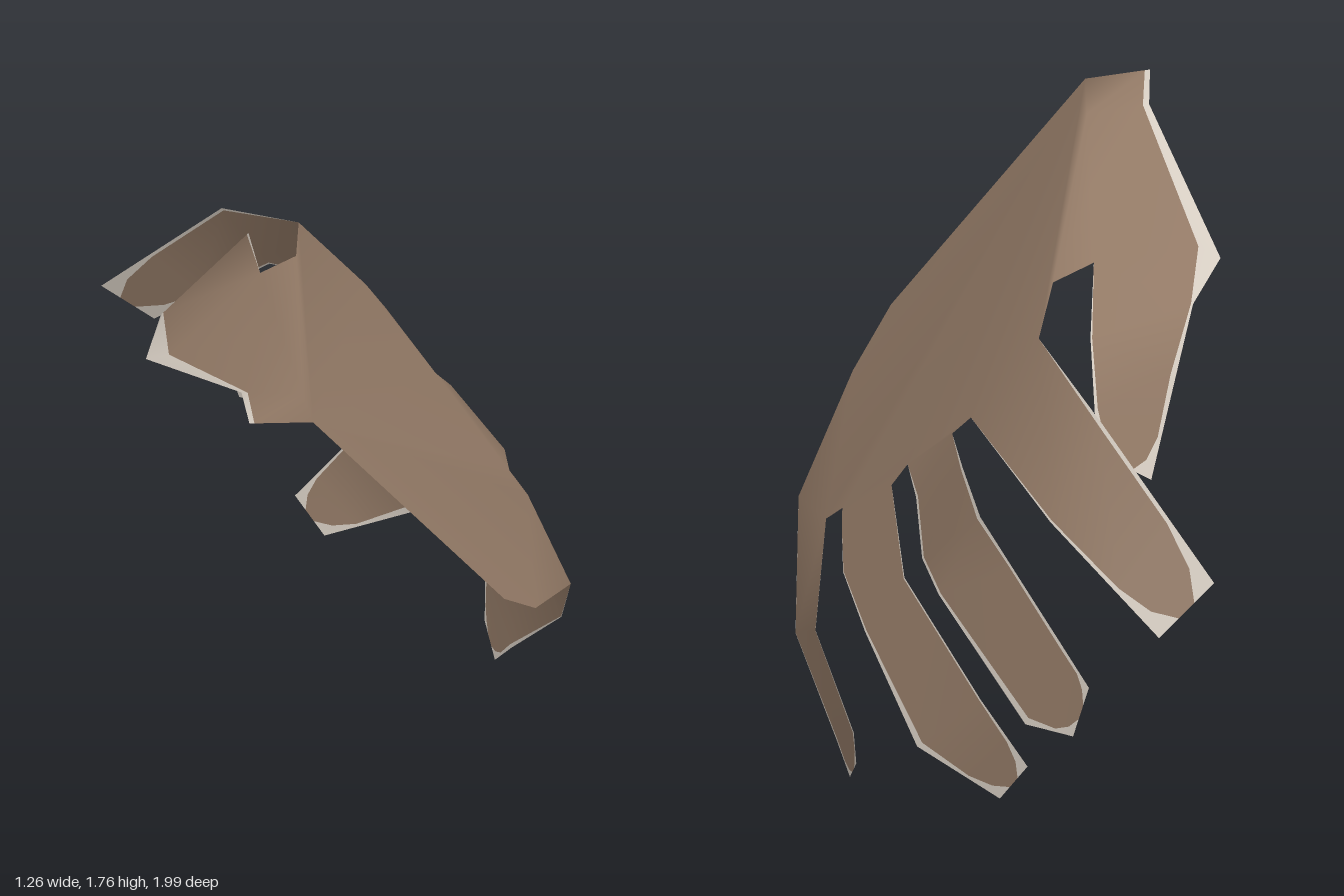
import * as THREE from 'three';

export function createModel() {
  const group = new THREE.Group();
  group.name = 'hand';

  const skin = new THREE.MeshStandardMaterial({ color: 0x937a66, side: THREE.DoubleSide });
  skin.name = 'brown skin';
  const rim = new THREE.MeshStandardMaterial({ color: 0xd6cdc2, side: THREE.DoubleSide });
  rim.name = 'pale rim';

  // Shared vertices, so the shading stays smooth across the knuckles
  const positions = [], lookup = new Map(), parts = [];
  const vertex = (p) => {
    const key = p.map((c) => c.toFixed(4)).join();
    if (!lookup.has(key)) {
      lookup.set(key, positions.length / 3);
      positions.push(...p);
    }
    return lookup.get(key);
  };
  const lerp = (p, q, t) => p.map((c, i) => c + (q[i] - c) * t);
  const newPart = (name) => {
    const part = { name, skin: [], rim: [] };
    parts.push(part);
    return part;
  };
  const triangle = (list, p, q, r) => {
    const [a, b, c] = [p, q, r].map(vertex);
    if (a !== b && b !== c && a !== c) list.push(a, b, c);
  };

  // Rows run from knuckle to tip: [upper edge, lower edge, upper rim, lower rim].
  // Rims are fractions of the width; the last section is rounded off by widening them.
  function finger(name, rows) {
    const part = newPart(name);
    const tip = rows[rows.length - 1], before = rows[rows.length - 2];
    const end = [[0.6, 0.05], [0.85, 0.15], [1, 0.36]].map(([t, w]) =>
      [lerp(before[0], tip[0], t), lerp(before[1], tip[1], t), w, w]);
    const grid = [...rows.slice(0, -1), ...end].map(([l, r, a = 0, b = 0]) =>
      [l, lerp(l, r, a), lerp(l, r, 1 - b), r]);
    for (let i = 0; i < grid.length - 1; i++) {
      for (let j = 0; j < 3; j++) {
        const list = j === 1 ? part.skin : part.rim;
        const [p, q] = [grid[i], grid[i + 1]];
        triangle(list, p[j], p[j + 1], q[j + 1]);
        triangle(list, p[j], q[j + 1], q[j]);
      }
    }
    return part;
  }

  // Palm: a flat sheet parallel to z, so height follows from x
  const onPalm = (x, z) => [x, 1.735 - 1.233 * (x + 0.272), z];
  const wrist = onPalm(-0.272, 0.985), thumbWeb = onPalm(-0.119, -0.13);
  const indexA = onPalm(-0.063, -0.395), indexB = onPalm(0.137, -0.395);
  const middleA = onPalm(0.19, -0.357), middleB = onPalm(0.314, -0.215);
  const ringA = onPalm(0.362, -0.23), ringB = onPalm(0.503, -0.123);
  const littleA = onPalm(0.54, 0.055), littleB = onPalm(0.602, 0.42);
  const outline = [
    wrist, onPalm(0.3, 0.985), onPalm(0.42, 0.84), littleB, littleA, onPalm(0.495, 0),
    ringB, ringA, middleB, middleA, indexB, indexA, thumbWeb,
  ];
  const palm = newPart('palm');
  const flat = outline.map((p) => new THREE.Vector2(p[0], -p[2]));
  for (const [a, b, c] of THREE.ShapeUtils.triangulateShape(flat, [])) {
    const up = flat[b].clone().sub(flat[a]).cross(flat[c].clone().sub(flat[a])) > 0;
    triangle(palm.skin, outline[a], outline[up ? b : c], outline[up ? c : b]);
  }

  // Thumb, with the fold that joins it to the palm
  const crook = [-0.244, 1.567, -0.034];
  const fold = [0, 0.19, 0.6, 1].map((t) => lerp(wrist, crook, t));
  const thumb = finger('thumb', [
    [[-0.463, 1.758, 0.99], fold[0], 0.08],
    [[-0.45, 1.73, 0.79], fold[1], 0.1],
    [[-0.63, 1.474, 0.21], fold[2], 0.17],
    [[-0.535, 1.44, -0.06], fold[3], 0.02],
    [[-0.475, 1.28, -0.23], [-0.216, 1.47, -0.38], 0.06, 0.02],
    [[-0.391, 1.047, -0.458], [-0.226, 1.177, -0.56]],
  ]);
  for (let i = 0; i < 3; i++) triangle(thumb.skin, fold[i], thumbWeb, fold[i + 1]);

  finger('indexFinger', [
    [indexA, indexB],
    [[-0.235, 1.33, -0.715], [-0.077, 1.056, -0.795], 0.04, 0.02],
    [[-0.55, 0.921, -0.962], [-0.386, 0.762, -0.992]],
  ]);
  finger('middleFinger', [
    [middleA, middleB],
    [[0.166, 1.11, -0.49], [0.295, 0.954, -0.332], 0.04, 0.04],
    [[0.125, 1.035, -0.69], [0.285, 0.82, -0.477], 0.05, 0.03],
    [[0.034, 0.908, -0.782], [0.245, 0.772, -0.643], 0.03, 0.03],
    [[-0.103, 0.717, -0.92], [0.002, 0.453, -0.885], 0.04, 0.08],
    [[-0.179, 0.611, -0.998], [-0.133, 0.453, -0.987]],
  ]);
  finger('ringFinger', [
    [ringA, ringB],
    [lerp(ringA, [0.337, 0.76, -0.477], 0.5), [0.505, 0.681, -0.231], 0.01, 0.01],
    [[0.337, 0.76, -0.477], [0.45, 0.568, -0.424], 0.02, 0.03],
    [[0.123, 0.45, -0.681], [0.305, 0.264, -0.579], 0.02, 0.08],
    [[-0.012, 0.257, -0.735], [0.067, 0.137, -0.686]],
  ]);
  finger('littleFinger', [
    [littleA, littleB],
    [[0.579, 0.442, -0.097], [0.626, 0.34, 0.135], 0.01, 0.01],
    [[0.477, 0.198, -0.3], [0.517, 0.09, -0.087], 0.05, 0.05],
    [[0.467, 0.08, -0.252], [0.481, 0, -0.161]],
  ]);

  // One set of smooth normals, then one mesh per part
  const whole = new THREE.BufferGeometry();
  whole.setAttribute('position', new THREE.Float32BufferAttribute(positions, 3));
  whole.setIndex(parts.flatMap((p) => [...p.skin, ...p.rim]));
  whole.computeVertexNormals();
  for (const part of parts) {
    const geometry = new THREE.BufferGeometry();
    geometry.setAttribute('position', whole.attributes.position);
    geometry.setAttribute('normal', whole.attributes.normal);
    geometry.setIndex([...part.skin, ...part.rim]);
    geometry.addGroup(0, part.skin.length, 0);
    if (part.rim.length) geometry.addGroup(part.skin.length, part.rim.length, 1);
    const mesh = new THREE.Mesh(geometry, [skin, rim]);
    mesh.name = part.name;
    group.add(mesh);
  }
  return group;
}
